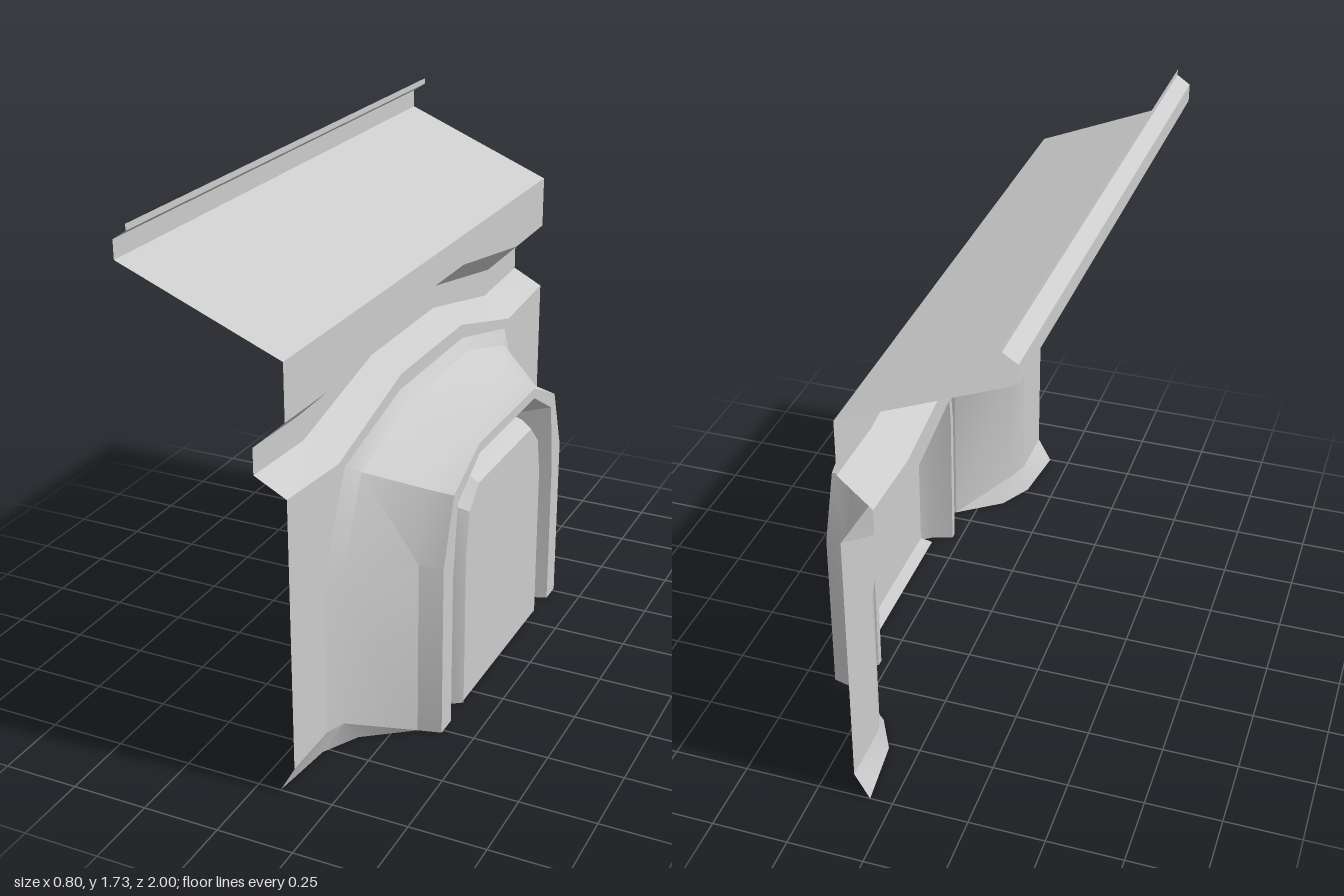
import * as THREE from 'three';
import { toCreasedNormals } from 'three/addons/utils/BufferGeometryUtils.js';

const material = new THREE.MeshStandardMaterial({ color: 0xcccccc, side: THREE.DoubleSide });

function addMesh(group, name, geometry) {
  const mesh = new THREE.Mesh(geometry, material);
  mesh.name = name;
  group.add(mesh);
}

// Surface through rows of [x, y, z] points; rows run upwards, points run from +z to -z
function loft(rows, crease) {
  const n = rows[0].length, index = [];
  for (let i = 0; i < rows.length - 1; i++) {
    for (let j = 0; j < n - 1; j++) {
      const a = i * n + j, d = a + n;
      index.push(a, a + 1, d + 1, a, d + 1, d);
    }
  }
  const g = new THREE.BufferGeometry();
  g.setAttribute('position', new THREE.Float32BufferAttribute(rows.flat(2), 3));
  g.setIndex(index);
  return toCreasedNormals(g, crease);
}

// Flat panel facing +x from [z, y] outline points
function panel(points, x) {
  const shape = new THREE.Shape(points.map(([z, y]) => new THREE.Vector2(-z, y)));
  return new THREE.ShapeGeometry(shape).rotateY(Math.PI / 2).translate(x, 0, 0);
}

// Symmetric outline: half listed from the +z side towards the middle
const mirrored = (half) => [...half, ...half.map(([z, y]) => [-z, y]).reverse()];
const atDepth = (points, x) => points.map(([z, y]) => [x, y, z]);

// Arch contours: depth x and half outline as [z, y], from wall to door
const arches = [
  [0.125, [[0.79, 0.09], [0.79, 0.63], [0.64, 0.94], [0.25, 1.04]]],
  [0.15, [[0.72, 0.09], [0.72, 0.6], [0.58, 0.9], [0.25, 1.0]]],
  [0.32, [[0.535, 0], [0.535, 0.6], [0.455, 0.82], [0.24, 0.92]]],
  [0.395, [[0.515, 0], [0.515, 0.59], [0.44, 0.81], [0.24, 0.905]]],
  [0.395, [[0.44, 0], [0.44, 0.52], [0.41, 0.77], [0.24, 0.87]]],
  [0.28, [[0.4, 0], [0.4, 0.52], [0.37, 0.745], [0.24, 0.84]]],
  [0.28, [[0.375, 0], [0.375, 0.53], [0.35, 0.725], [0.235, 0.81]]],
  [0.355, [[0.35, 0], [0.35, 0.54], [0.325, 0.71], [0.235, 0.785]]],
  [0.39, [[0.325, 0], [0.325, 0.56], [0.3, 0.69], [0.23, 0.76]]],
];
const archRow = ([x, half]) => atDepth(mirrored(half), x);
const archSurface = (from, to, crease) =>
  loft(arches.slice(from, to + 1).map(archRow).reverse(), crease);

export function createModel() {
  const model = new THREE.Group();
  model.name = 'archedDoorwayFacade';

  // Wall around the arch
  const wallTop = [[1, 0.99], [0.68, 0.965], [0.24, 1.09]];
  const opening = mirrored(arches[0][1]).reverse();
  addMesh(model, 'wall', panel([[1, 0.09], ...mirrored(wallTop), [-1, 0.09], ...opening], 0.125));

  // Projecting porch, its front rim and the groove around the door
  addMesh(model, 'porch', archSurface(0, 3, 0.55));
  addMesh(model, 'porchRim', archSurface(3, 4, 0.3));
  addMesh(model, 'doorGroove', archSurface(4, 8, 0.45));

  // Door and its lower lip
  const door = mirrored(arches[8][1]);
  addMesh(model, 'door', panel(door.map(([z, y]) => [z, Math.max(y, 0.008)]), 0.39));
  addMesh(model, 'doorLip', loft([
    [[0.345, 0, 0.325], [0.345, 0, -0.325]],
    [[0.39, 0.008, 0.325], [0.39, 0.008, -0.325]],
  ], 0.3));

  // Undercut skirts at the foot of the wall
  const skirtFoot = [[0.075, 0, 1], [0.1, 0, 0.77], [0.165, 0, 0.65], [0.32, 0, 0.535]];
  const skirtHead = [[0.125, 0.09, 1], [0.125, 0.09, 0.79], [0.15, 0.09, 0.72], [0.32, 0, 0.535]];
  const flip = (row) => row.map(([x, y, z]) => [x, y, -z]).reverse();
  addMesh(model, 'leftSkirt', loft([skirtFoot, skirtHead], 0.5));
  addMesh(model, 'rightSkirt', loft([flip(skirtFoot), flip(skirtHead)], 0.5));

  // Wavy recessed cornice between wall and eave
  const cornice = [
    [0.125, wallTop],
    [0.02, [[1, 1.045], [0.7, 1.03], [0.24, 1.135]]],
    [0.02, [[1, 1.13], [0.73, 1.12], [0.25, 1.21]]],
    [0.125, [[1, 1.225], [0.74, 1.22], [0.25, 1.3]]],
    [0.125, [[1, 1.405], [0.74, 1.405], [0.25, 1.405]]],
  ];
  addMesh(model, 'cornice', loft(cornice.map(archRow), 0.4));

  // Straight roof slope and ridge strip
  const straight = (profile) => loft(profile.map(([x, y]) => [[x, y, 1], [x, y, -1]]), 0.2);
  addMesh(model, 'roof', straight([[0.125, 1.405], [-0.4, 1.62]]));
  addMesh(model, 'ridge', straight([[-0.4, 1.62], [-0.4, 1.68], [-0.355, 1.71], [-0.355, 1.73]]));

  return model;
}
